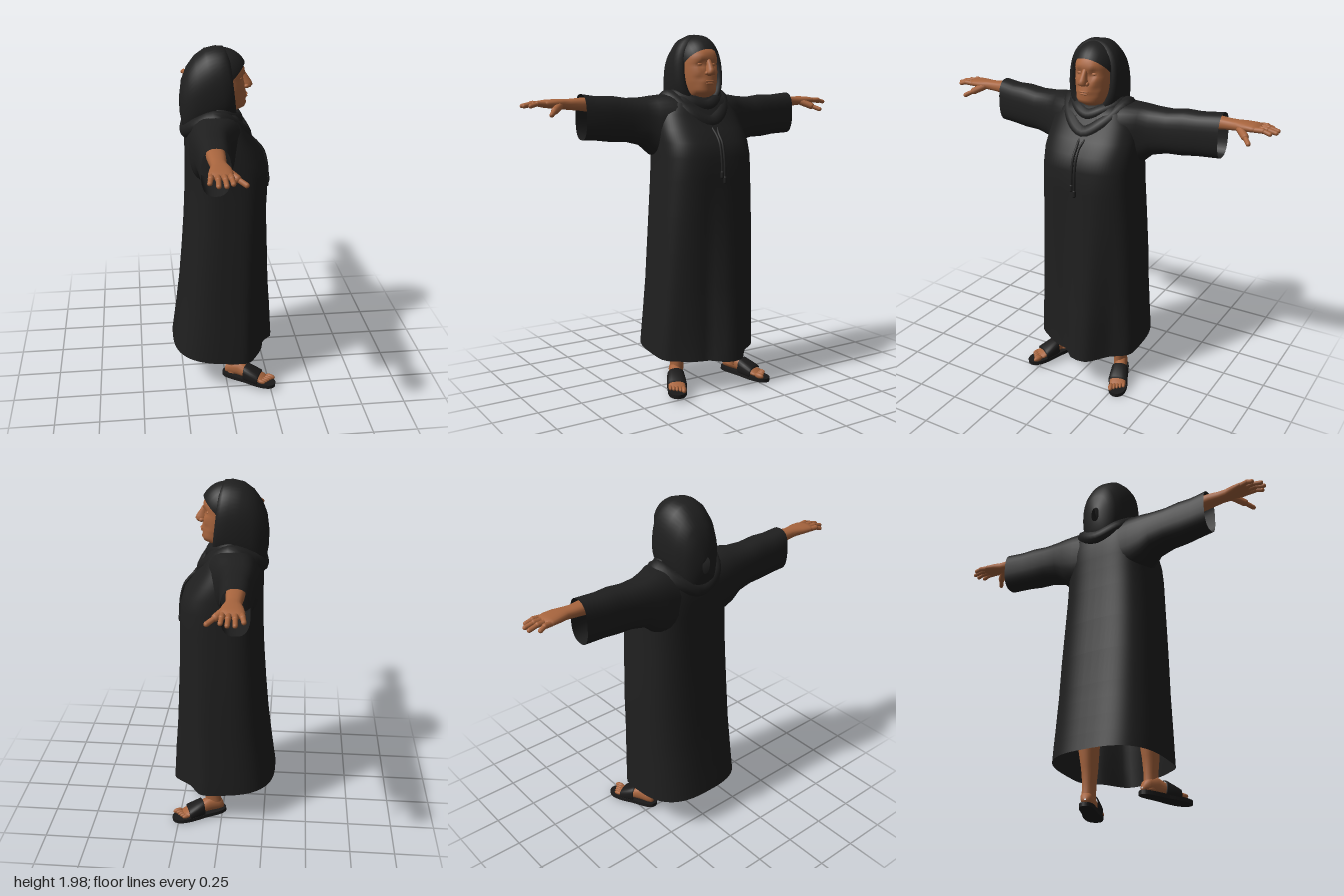
import * as THREE from 'three';

const material = (name, color, side = THREE.FrontSide) => {
  const m = new THREE.MeshStandardMaterial({ color, side });
  m.name = name;
  return m;
};

// Skin over superelliptic rings. Row: [t, minA, maxA, minB, maxB] along the given axis.
function loft(rows, axis, { sides = 32, power = 2.2, warp } = {}) {
  const pts = [], index = [], centre = new THREE.Vector3();
  for (const [t, a0, a1, b0, b1] of rows) {
    for (let i = 0; i < sides; i++) {
      const th = (i / sides) * Math.PI * 2, c = Math.cos(th), s = Math.sin(th);
      const a = (a0 + a1) / 2 + ((a1 - a0) / 2) * Math.sign(c) * Math.abs(c) ** (2 / power);
      const b = (b0 + b1) / 2 + ((b1 - b0) / 2) * Math.sign(s) * Math.abs(s) ** (2 / power);
      const p = axis === 'x' ? new THREE.Vector3(t, a, b)
        : axis === 'y' ? new THREE.Vector3(a, t, b) : new THREE.Vector3(a, b, t);
      if (warp) warp(p);
      pts.push(p);
      centre.add(p);
    }
  }
  centre.divideScalar(pts.length);
  for (let r = 0; r < rows.length - 1; r++) {
    for (let i = 0; i < sides; i++) {
      const a = r * sides + i, b = r * sides + ((i + 1) % sides);
      index.push(a, b, a + sides, b, b + sides, a + sides);
    }
  }
  // Turn the faces outward whichever way the rows run
  let volume = 0;
  const q = [0, 1, 2].map(() => new THREE.Vector3());
  for (let i = 0; i < index.length; i += 3) {
    q.forEach((v, k) => v.copy(pts[index[i + k]]).sub(centre));
    volume += q[0].dot(q[1].cross(q[2]));
  }
  if (volume < 0) index.reverse();
  const g = new THREE.BufferGeometry().setFromPoints(pts);
  g.setIndex(index);
  g.computeVertexNormals();
  return g;
}

const V = (x, y, z) => new THREE.Vector3(x, y, z);
const evenB = rows => rows.map(([t, a, b, w]) => [t, a, b, -w, w]);
const tube = (points, r, closed = false) => new THREE.TubeGeometry(
  new THREE.CatmullRomCurve3(points.map(p => V(...p)), closed), 48, r, 12, closed);

export function createModel() {
  const model = new THREE.Group();
  model.name = 'robedFigure';
  const cloth = material('blackCloth', 0x1f1f1f, THREE.DoubleSide);
  const skin = material('skin', 0xa8653e);
  const leather = material('sandalLeather', 0x1b1a1a);

  const add = (name, geometry, mat, parent = model) => {
    const mesh = new THREE.Mesh(geometry, mat);
    mesh.name = name;
    parent.add(mesh);
    return mesh;
  };
  const capsule = (name, from, to, r, mat, parent) => {
    const d = to.clone().sub(from);
    const m = add(name, new THREE.CapsuleGeometry(r, d.length(), 5, 10), mat, parent);
    m.position.copy(from).add(to).multiplyScalar(0.5);
    m.quaternion.setFromUnitVectors(V(0, 1, 0), d.normalize());
  };
  const blob = (name, pos, size, mat, parent) => {
    const m = add(name, new THREE.SphereGeometry(1, 16, 12), mat, parent);
    m.position.set(...pos);
    m.scale.set(...size);
  };

  // Robe: open below, hem higher at the back, a long fold stepping back on the right of the front
  add('robe', loft([
    [0.205, -0.308, 0.3, -0.312, 0.312], [0.3, -0.295, 0.293, -0.312, 0.308],
    [0.4, -0.282, 0.287, -0.309, 0.303], [0.5, -0.27, 0.278, -0.307, 0.298],
    [0.6, -0.258, 0.27, -0.304, 0.293], [0.8, -0.24, 0.26, -0.302, 0.287],
    [1.0, -0.225, 0.25, -0.293, 0.279], [1.2, -0.215, 0.245, -0.281, 0.269],
    [1.32, -0.213, 0.24, -0.275, 0.265], [1.4, -0.213, 0.217, -0.271, 0.265],
    [1.47, -0.213, 0.165, -0.265, 0.262], [1.55, -0.205, 0.115, -0.25, 0.25],
    [1.61, -0.19, 0.085, -0.22, 0.22], [1.65, -0.17, 0.06, -0.17, 0.17],
    [1.665, -0.06, -0.05, -0.01, 0.01],
  ], 'y', {
    sides: 80, power: 2.8, warp: p => {
      const k = THREE.MathUtils.clamp((1.3 - p.y) / 1.0, 0, 1);
      const front = THREE.MathUtils.smoothstep(p.x, 0.08, 0.28);
      const z = p.z;
      p.x -= 0.07 * k * front * THREE.MathUtils.smoothstep(z, -0.03, 0.09);
      p.x -= 0.07 * k * front * THREE.MathUtils.smoothstep(-z, 0.1, 0.24);
      p.z *= 1 - 0.1 * k * front;
      p.y -= 0.09 * p.x * Math.max(0, 1 - (p.y - 0.2) / 0.5);
    },
  }), cloth);

  // Arms
  for (const s of [1, -1]) {
    const side = s > 0 ? 'right' : 'left';
    const cuff = s > 0 ? 0.668 : 0.703;
    const alongZ = rows => rows.map(([z, ...r]) => [z * s, ...r]);
    add(side + 'Sleeve', loft(alongZ([
      [0.06, -0.2, 0.12, 1.28, 1.65], [0.19, -0.2, 0.08, 1.29, 1.66],
      [0.26, -0.195, 0.035, 1.325, 1.652], [0.32, -0.188, 0.008, 1.378, 1.643],
      [0.41, -0.183, -0.005, 1.4, 1.64], [0.5, -0.18, -0.012, 1.403, 1.652],
      [0.58, -0.18, -0.02, 1.413, 1.65], [cuff, -0.18, -0.033, 1.418, 1.662],
    ]), 'z', { power: 2.6 }), cloth);

    const hand = new THREE.Group();
    hand.name = side + 'Hand';
    model.add(hand);
    add('forearm', loft(alongZ([
      [0.6, -0.15, -0.055, 1.565, 1.645], [0.68, -0.148, -0.06, 1.575, 1.643],
      [0.74, -0.143, -0.066, 1.58, 1.638], [0.78, -0.143, -0.06, 1.584, 1.638],
      [0.82, -0.155, -0.05, 1.588, 1.638], [0.87, -0.165, -0.048, 1.592, 1.635],
      [0.9, -0.163, -0.055, 1.598, 1.63], [0.91, -0.12, -0.1, 1.608, 1.614],
    ]), 'z', { sides: 20, power: 2.4 }), skin, hand);
    // Knuckle x, tip x, tip z
    [[-0.149, -0.163, 0.948], [-0.121, -0.127, 0.986], [-0.093, -0.092, 0.988], [-0.066, -0.06, 0.966]]
      .forEach(([x0, x1, z1]) => {
        const mid = V((x0 + x1) / 2, 1.615, s * (0.89 + z1) / 2);
        capsule('finger', V(x0, 1.612, s * 0.88), mid, 0.0145, skin, hand);
        capsule('fingertip', mid, V(x1, 1.604, s * z1), 0.012, skin, hand);
      });
    capsule('thumbBase', V(-0.075, 1.605, s * 0.8), V(-0.03, 1.58, s * 0.848), 0.02, skin, hand);
    capsule('thumbTip', V(-0.03, 1.58, s * 0.848), V(0.01, 1.56, s * 0.882), 0.013, skin, hand);
  }

  // Head, with sunken eyes, hollow cheeks and creases beside the mouth
  const head = new THREE.Group();
  head.name = 'head';
  model.add(head);
  add('face', loft(evenB([
    [1.58, -0.08, 0.03, 0.06], [1.63, -0.09, 0.05, 0.066], [1.65, -0.09, 0.078, 0.071],
    [1.665, -0.09, 0.113, 0.076], [1.685, -0.1, 0.123, 0.082], [1.702, -0.1, 0.117, 0.086],
    [1.72, -0.1, 0.125, 0.09], [1.735, -0.1, 0.123, 0.092], [1.755, -0.1, 0.117, 0.095],
    [1.78, -0.1, 0.113, 0.097], [1.805, -0.1, 0.108, 0.098], [1.825, -0.1, 0.104, 0.098],
    [1.845, -0.1, 0.114, 0.096], [1.87, -0.1, 0.111, 0.092], [1.895, -0.1, 0.1, 0.084],
    [1.92, -0.07, 0.06, 0.05],
  ]), 'y', {
    sides: 56, warp: p => {
      if (p.x < 0) return;
      const dz = Math.abs(p.z);
      const bump = (z, y, w) => Math.exp(-((dz - z) ** 2 + (p.y - y) ** 2) / (w * w));
      p.x += -0.014 * bump(0.042, 1.82, 0.018) - 0.01 * bump(0.06, 1.735, 0.025)
        + 0.008 * bump(0.055, 1.785, 0.018) + 0.006 * bump(0.04, 1.85, 0.016);
    },
  }), skin, head);
  add('nose', loft(evenB([
    [1.758, 0.1, 0.115, 0.01], [1.765, 0.1, 0.146, 0.023], [1.778, 0.095, 0.157, 0.024],
    [1.795, 0.09, 0.151, 0.019], [1.82, 0.09, 0.134, 0.014], [1.845, 0.09, 0.118, 0.012],
    [1.858, 0.09, 0.1, 0.006],
  ]), 'y', { sides: 20 }), skin, head);
  for (const s of [1, -1]) {
    blob('eye', [0.082, 1.82, s * 0.042], [0.012, 0.009, 0.017], skin, head);
    blob('nostril', [0.122, 1.773, s * 0.023], [0.014, 0.011, 0.01], skin, head);
  }
  blob('upperLip', [0.12, 1.729, 0], [0.01, 0.005, 0.03], skin, head);
  blob('lowerLip', [0.119, 1.717, 0], [0.01, 0.006, 0.026], skin, head);

  // Tight cap under the hood
  const cap = add('cap', new THREE.SphereGeometry(0.14, 32, 20, 0, Math.PI * 2, 0, 1.87), cloth, head);
  cap.position.set(-0.012, 1.838, 0);
  cap.rotation.z = Math.PI / 4;
  cap.scale.z = 0.86;

  // Hood: outer shell rolling over the rim to the inside
  add('hood', loft(evenB([
    [-0.24, 1.63, 1.72, 0.025], [-0.225, 1.53, 1.81, 0.082], [-0.195, 1.5, 1.88, 0.113],
    [-0.15, 1.5, 1.937, 0.136], [-0.08, 1.52, 1.974, 0.15], [-0.02, 1.55, 1.986, 0.15],
    [0.02, 1.58, 1.982, 0.145], [0.04, 1.6, 1.962, 0.13], [0.035, 1.62, 1.945, 0.112],
    [0.01, 1.63, 1.935, 0.1], [-0.05, 1.64, 1.92, 0.097],
  ]), 'x', {
    sides: 48, power: 2.3, warp: p => { p.x -= (p.y - 1.8) * 0.12 * (p.x > -0.1 ? 1 : 0.2); },
  }), cloth, head);

  // Draped folds round the neck
  add('lowerCowl', tube([[-0.195, 1.535, 0], [-0.155, 1.59, 0.12], [-0.05, 1.64, 0.165],
    [0.065, 1.56, 0.1], [0.11, 1.5, 0], [0.065, 1.56, -0.1], [-0.05, 1.64, -0.165],
    [-0.155, 1.59, -0.12]], 0.045, true), cloth);
  add('upperCowl', tube([[-0.14, 1.65, 0], [-0.03, 1.65, 0.13], [0.045, 1.615, 0.07],
    [0.068, 1.59, 0], [0.045, 1.615, -0.07], [-0.03, 1.65, -0.13]], 0.038, true), cloth);

  // Drawstring
  for (const [z, end] of [[0.004, 1.24], [-0.014, 1.21]]) {
    add('drawstring', tube([[0.15, 1.48, z * 2], [0.19, 1.442, z], [0.222, 1.4, z],
      [0.24, 1.34, z], [0.248, 1.28, z], [0.25, end, z]], 0.007), cloth);
    capsule('tassel', V(0.25, end, z), V(0.25, end - 0.025, z), 0.01, cloth);
  }

  // Legs, feet and sandals, toes turned outward
  const sole = new THREE.Shape();
  sole.moveTo(-0.058, 0);
  sole.bezierCurveTo(-0.058, 0.055, 0.03, 0.04, 0.1, 0.048);
  sole.bezierCurveTo(0.17, 0.06, 0.268, 0.065, 0.272, 0);
  sole.bezierCurveTo(0.268, -0.06, 0.17, -0.055, 0.1, -0.044);
  sole.bezierCurveTo(0.03, -0.04, -0.058, -0.055, -0.058, 0);
  for (const s of [1, -1]) {
    const zc = s > 0 ? 0.18 : -0.205;
    add('leg', loft([
      [0.07, 0.003, 0.095, 0.036], [0.11, 0.005, 0.098, 0.034], [0.16, 0.008, 0.104, 0.034],
      [0.25, 0.0, 0.112, 0.042], [0.4, -0.03, 0.115, 0.058], [0.7, -0.05, 0.1, 0.07],
    ].map(([y, a, b, w]) => [y, a, b, zc - w, zc + w]), 'y', { sides: 20 }), skin);

    const foot = new THREE.Group();
    foot.name = s > 0 ? 'rightFoot' : 'leftFoot';
    foot.position.set(0.032, s > 0 ? 0.038 : 0.02, zc);
    foot.rotation.set(0, -s * (s > 0 ? 0.47 : 0.36), -0.06, 'YXZ');
    model.add(foot);
    const soleMesh = add('sole', new THREE.ExtrudeGeometry(sole,
      { depth: 0.022, bevelEnabled: false, curveSegments: 12 }), leather, foot);
    soleMesh.rotation.x = -Math.PI / 2;
    add('foot', loft(evenB([
      [-0.045, 0.035, 0.045, 0.006], [-0.038, 0.022, 0.075, 0.026], [-0.01, 0.02, 0.1, 0.034],
      [0.04, 0.02, 0.11, 0.034], [0.09, 0.02, 0.09, 0.037], [0.14, 0.02, 0.068, 0.044],
      [0.19, 0.02, 0.052, 0.047], [0.215, 0.025, 0.035, 0.035],
    ]), 'x', { sides: 20 }), skin, foot);
    for (let i = 0; i < 5; i++) {
      const big = i === 0;
      blob('toe', [0.228 - i * 0.008, 0.035, s * (-0.034 + i * 0.018)],
        [big ? 0.03 : 0.025, big ? 0.016 : 0.012, big ? 0.014 : 0.01], skin, foot);
    }
    // Broad strap arching over the instep
    add('strap', loft(evenB([
      [0.08, 0.0, 0.094, 0.043], [0.085, 0.0, 0.102, 0.049], [0.125, 0.0, 0.088, 0.053],
      [0.17, 0.0, 0.071, 0.056], [0.175, 0.0, 0.06, 0.05],
    ]), 'x', {
      sides: 28, power: 2.6, warp: p => { p.y = Math.max(p.y, 0.006); },
    }), leather, foot);
  }
  return model;
}
